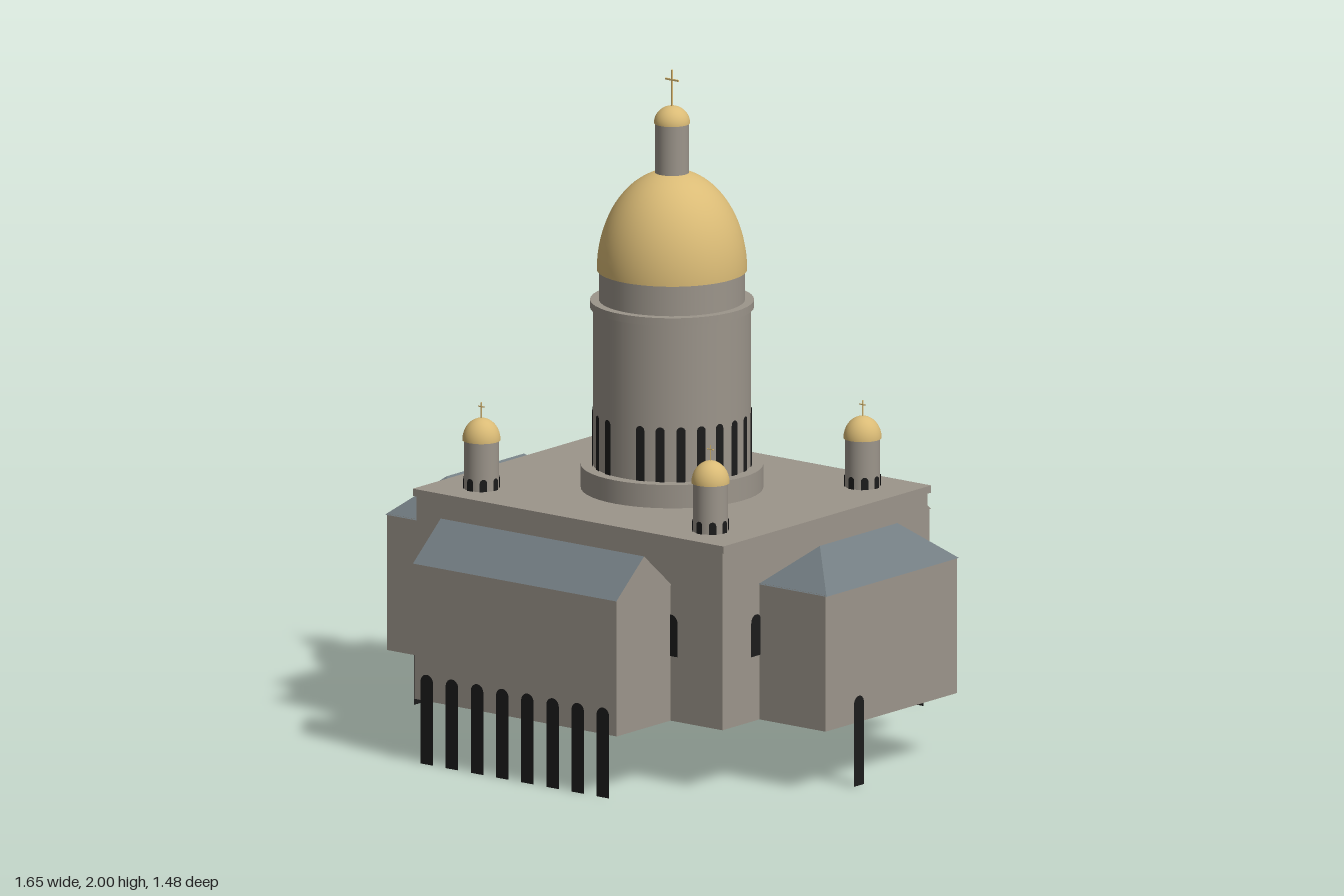
import * as THREE from 'three';

const mat = (name, color, extra = {}) => {
  const m = new THREE.MeshStandardMaterial({ color, ...extra });
  m.name = name;
  return m;
};

export function createModel() {
  const both = { side: THREE.DoubleSide };
  const stone = mat('stone', 0x9c958b, both);
  const slate = mat('slate', 0x737d82);
  const gold = mat('gold', 0xdabb76);
  const dark = mat('darkOpening', 0x1c1c1c, both);

  const model = new THREE.Group();
  model.name = 'domedCathedral';

  const add = (parent, name, geometry, material, x = 0, y = 0, z = 0) => {
    const mesh = new THREE.Mesh(geometry, material);
    mesh.name = name;
    mesh.position.set(x, y, z);
    parent.add(mesh);
    return mesh;
  };
  const group = (name, parent = model) => {
    const g = new THREE.Group();
    g.name = name;
    parent.add(g);
    return g;
  };
  const flat = (geometry) => {
    const g = geometry.toNonIndexed();
    g.computeVertexNormals();
    return g;
  };

  // Four walls without floor or ceiling
  const walls = (w, h, d) =>
    flat(new THREE.CylinderGeometry(Math.SQRT1_2, Math.SQRT1_2, 1, 4, 1, true)
      .rotateY(Math.PI / 4).scale(w, h, d));

  // Flat round-headed opening, base at y = 0
  const arch = (w, h) => {
    const s = new THREE.Shape();
    s.moveTo(-w / 2, 0);
    s.lineTo(w / 2, 0);
    s.lineTo(w / 2, h - w / 2);
    s.absarc(0, h - w / 2, w / 2, 0, Math.PI, false);
    s.lineTo(-w / 2, 0);
    return new THREE.ShapeGeometry(s, 6);
  };

  // Upright column of radius r between two heights
  const drum = (parent, name, r, y0, y1) =>
    add(parent, name, new THREE.CylinderGeometry(r, r, y1 - y0, 48), stone, 0, (y0 + y1) / 2, 0);

  // Half ellipsoid cap
  const dome = (parent, name, r, h, y) => {
    add(parent, name, new THREE.SphereGeometry(1, 48, 20, 0, Math.PI * 2, 0, Math.PI / 2).scale(r, h, r), gold, 0, y, 0);
    add(parent, name + 'Base', new THREE.CircleGeometry(r, 48).rotateX(Math.PI / 2), stone, 0, y, 0);
  };

  const cross = (parent, y0, y1, armY, armW, t) => {
    const g = group('cross', parent);
    add(g, 'crossPost', new THREE.BoxGeometry(t, y1 - y0, t), gold, 0, (y0 + y1) / 2, 0);
    add(g, 'crossArm', new THREE.BoxGeometry(armW, t, t), gold, 0, armY, 0);
  };

  // Arched openings around a drum; skip lists empty slots
  const windowRing = (parent, r, y, w, h, count, skip = []) => {
    const geo = arch(w, h);
    for (let i = 0; i < count; i++) {
      if (skip.includes(i)) continue;
      const a = (i / count) * Math.PI * 2;
      add(parent, 'drumWindow', geo, dark, Math.sin(a) * r, y, Math.cos(a) * r).rotation.y = a;
    }
  };

  // Main hall and its cornice slab
  add(model, 'hallWalls', walls(1.144, 0.535, 0.964), stone, 0, 0.4575, 0);
  add(model, 'hallCornice', new THREE.BoxGeometry(1.16, 0.022, 0.976), stone, 0, 0.734, 0);
  const hallWindow = arch(0.047, 0.125);
  for (const sx of [-1, 1]) {
    for (const sz of [-1, 1]) {
      add(model, 'hallWindow', hallWindow, dark, sx * 0.383, 0.385, sz * 0.485);
      add(model, 'hallWindow', hallWindow, dark, sx * 0.575, 0.385, sz * 0.327).rotation.y = Math.PI / 2;
    }
  }

  // Projecting wings, each built facing +z and then turned
  const bayArch = arch(0.047, 0.27);
  const wing = (name, angle, width, inner, outer, bays, hipped) => {
    const g = group(name);
    g.rotation.y = angle;
    const depth = outer - inner, mid = (inner + outer) / 2;
    add(g, 'wingWalls', walls(width, 0.41, depth), stone, 0, 0.395, mid);
    add(g, 'wingFloor', new THREE.BoxGeometry(width, 0.004, depth), stone, 0, 0.23, mid);
    if (hipped) {
      // Hipped roof: the top of a box drawn in to a ridge
      const box = new THREE.BoxGeometry(width + 0.006, 0.11, depth + 0.008);
      const p = box.attributes.position;
      for (let i = 0; i < p.count; i++) {
        if (p.getY(i) > 0) p.setXYZ(i, Math.sign(p.getX(i)) * 0.182, p.getY(i), 0);
      }
      add(g, 'hippedRoof', flat(box), slate, 0, 0.652, mid + 0.002);
    } else {
      // Gabled roof with stone gable ends
      const e = depth / 2 + 0.004;
      const s = new THREE.Shape();
      s.moveTo(-e, 0.597);
      s.lineTo(e, 0.597);
      s.lineTo(0, 0.708);
      s.closePath();
      const roof = new THREE.ExtrudeGeometry(s, { depth: width + 0.004, bevelEnabled: false })
        .translate(0, 0, -width / 2 - 0.002).rotateY(Math.PI / 2);
      add(g, 'gabledRoof', roof, [stone, slate], 0, 0, mid);
    }
    for (const x of bays) add(g, 'tallArch', bayArch, dark, x, 0, outer + 0.003);
  };
  const bays = [...Array(8).keys()].map((i) => (i - 3.5) * 0.094);
  wing('frontWing', 0, 0.756, 0.482, 0.735, bays, false);
  wing('backWing', Math.PI, 0.756, 0.482, 0.735, bays.filter((_, i) => i !== 1 && i !== 5), false);
  wing('leftWing', Math.PI / 2, 0.616, 0.572, 0.819, [-0.155], true);
  wing('rightWing', -Math.PI / 2, 0.616, 0.572, 0.819, [-0.155, 0.155], true);

  // Central tower
  const tower = group('centralTower');
  drum(tower, 'towerPlinth', 0.267, 0.745, 0.815);
  drum(tower, 'towerDrum', 0.231, 0.815, 1.29);
  drum(tower, 'towerCornice', 0.24, 1.287, 1.31);
  drum(tower, 'upperDrum', 0.214, 1.31, 1.4);
  windowRing(tower, 0.234, 0.815, 0.027, 0.165, 24, [0, 13]);
  dome(tower, 'mainDome', 0.22, 0.3, 1.4);
  drum(tower, 'lantern', 0.05, 1.68, 1.84);
  dome(tower, 'lanternDome', 0.053, 0.052, 1.84);
  cross(tower, 1.885, 2, 1.97, 0.05, 0.005);

  // Four corner turrets
  for (const sx of [-1, 1]) {
    for (const sz of [-1, 1]) {
      const t = group('cornerTurret');
      t.position.set(sx * 0.428, 0, sz * 0.357);
      drum(t, 'turretDrum', 0.051, 0.745, 0.89);
      windowRing(t, 0.053, 0.742, 0.022, 0.04, 8);
      dome(t, 'turretDome', 0.056, 0.066, 0.89);
      cross(t, 0.953, 1.003, 0.99, 0.024, 0.003);
    }
  }

  return model;
}
